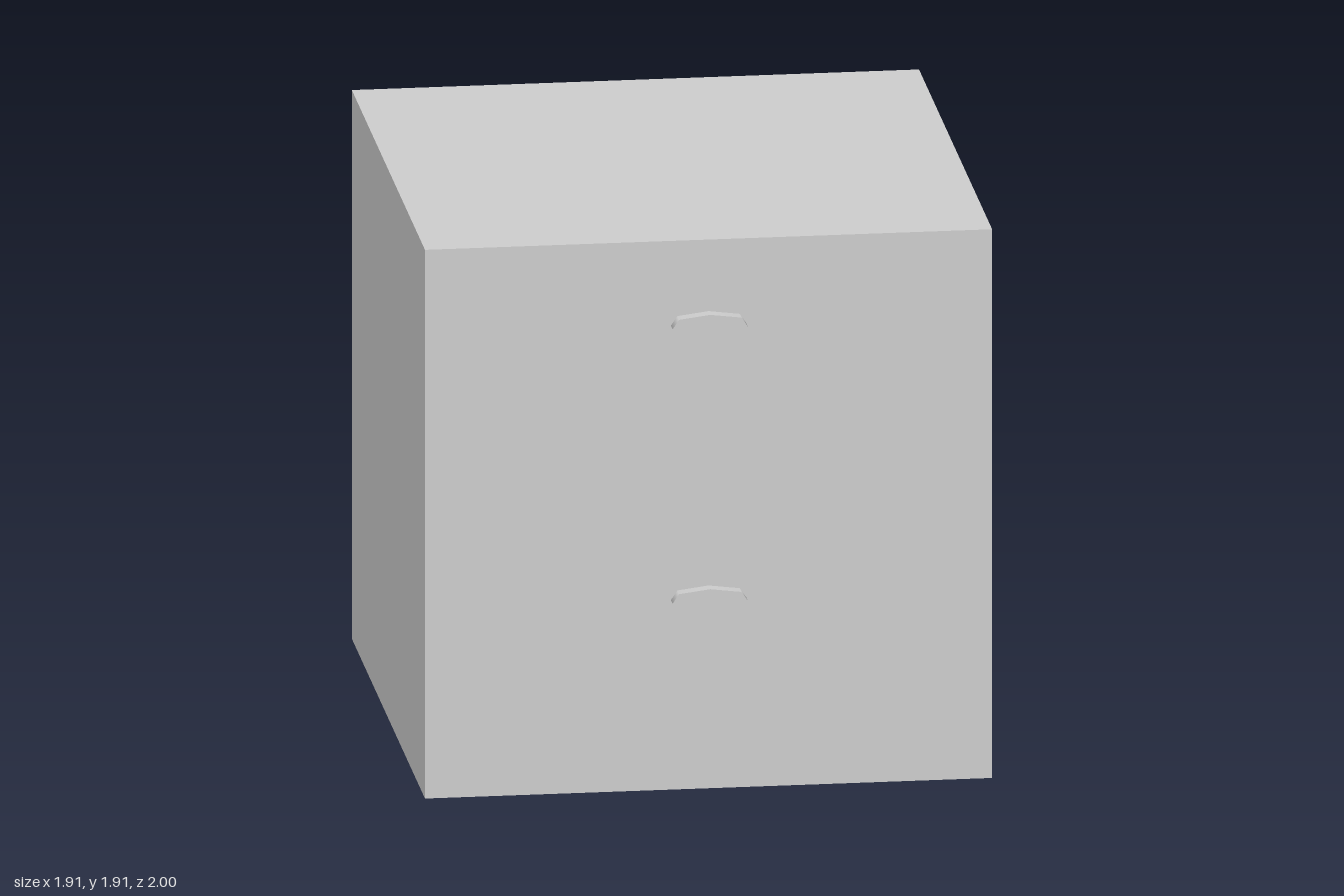
import * as THREE from 'three';

const SIZE = 1.91;
const HANDLE = { halfWidth: 0.127, shoulder: 0.105, halfHeight: 0.046, depth: 0.045 };

// Flattened eight-sided knob with its axis along z
function handleGeometry() {
  const geo = new THREE.CylinderGeometry(1, 1, HANDLE.depth, 8);
  geo.rotateX(Math.PI / 2);
  geo.scale(HANDLE.halfWidth, HANDLE.halfHeight, 1);
  // push the diagonal corners outward
  const pos = geo.attributes.position;
  for (let i = 0; i < pos.count; i++) {
    const x = pos.getX(i);
    const t = Math.abs(x) / HANDLE.halfWidth;
    if (t > 0.5 && t < 0.9) pos.setX(i, Math.sign(x) * HANDLE.shoulder);
  }
  return geo;
}

export function createModel() {
  const group = new THREE.Group();
  group.name = 'cabinet';
  const material = new THREE.MeshStandardMaterial({ color: 0xcccccc });

  // Cabinet body
  const body = new THREE.Mesh(new THREE.BoxGeometry(SIZE, SIZE, SIZE), material);
  body.name = 'body';
  body.position.y = SIZE / 2;
  group.add(body);

  // Two handles on the front, two on the back
  const geo = handleGeometry();
  for (const [side, sign] of [['front', 1], ['back', -1]]) {
    for (const [level, y] of [['Upper', 1.615], ['Lower', 0.66]]) {
      const handle = new THREE.Mesh(geo, material);
      handle.name = `${side}${level}Handle`;
      handle.position.set(0, y, sign * (SIZE + HANDLE.depth) / 2);
      group.add(handle);
    }
  }
  return group;
}
